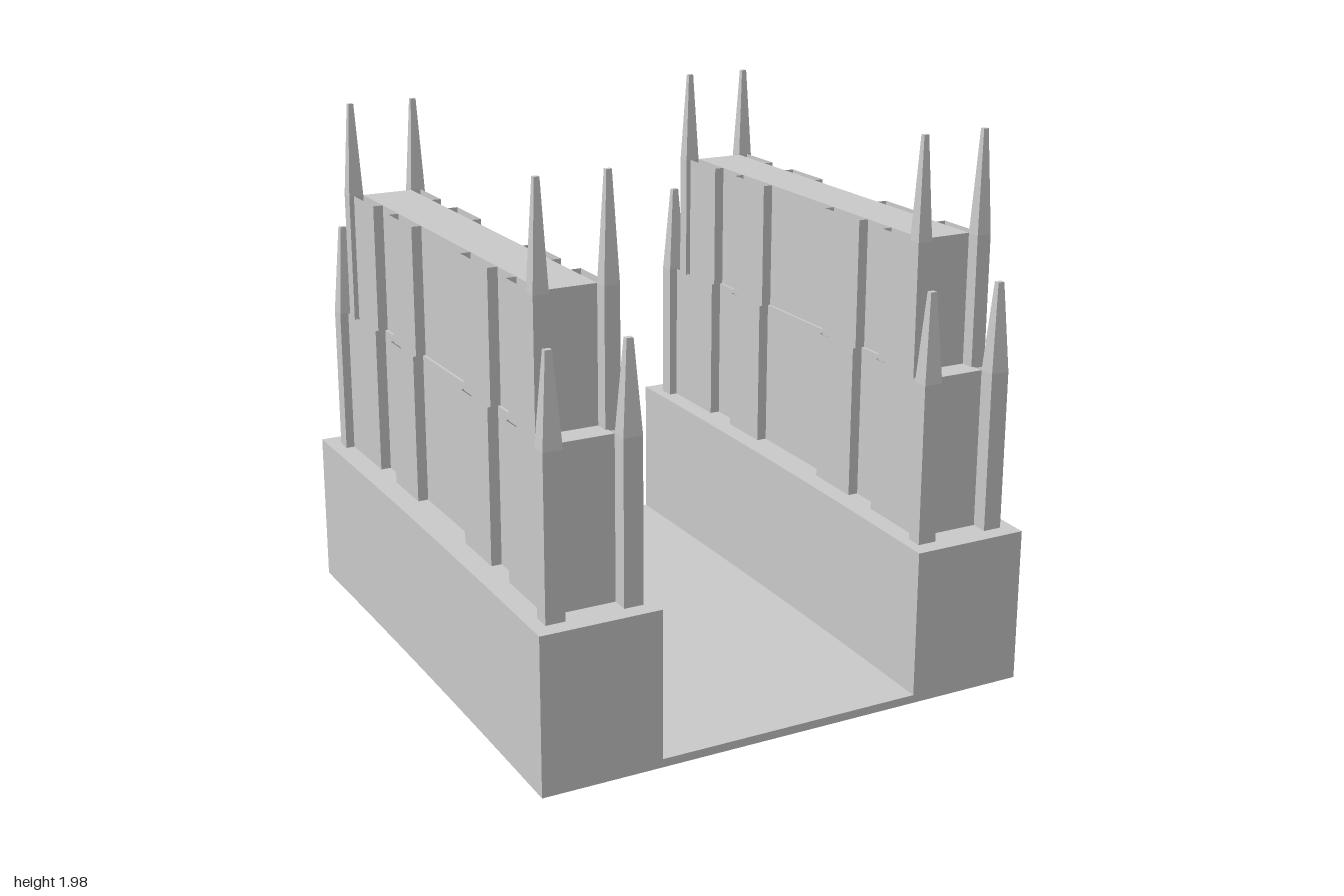
import * as THREE from 'three';

const grey = new THREE.MeshStandardMaterial({ color: 0xcccccc, flatShading: true });
const thin = new THREE.MeshStandardMaterial({ color: 0xcccccc, flatShading: true, side: THREE.DoubleSide });

function add(parent, name, geometry, material = grey) {
  const mesh = new THREE.Mesh(geometry, material);
  mesh.name = name;
  parent.add(mesh);
  return mesh;
}

// Box given by its lower and upper limits
function block(x0, x1, y0, y1, z0, z1) {
  return new THREE.BoxGeometry(x1 - x0, y1 - y0, z1 - z0)
    .translate((x0 + x1) / 2, (y0 + y1) / 2, (z0 + z1) / 2);
}

// Open vertical sheet following a list of [x, z] points
function sheet(path, y0, y1) {
  const positions = [], index = [];
  path.forEach(([x, z], i) => {
    positions.push(x, y0, z, x, y1, z);
    if (i) {
      const a = 2 * i - 2;
      index.push(a, a + 2, a + 1, a + 1, a + 2, a + 3);
    }
  });
  const g = new THREE.BufferGeometry();
  g.setAttribute('position', new THREE.Float32BufferAttribute(positions, 3));
  g.setIndex(index);
  const flat = g.toNonIndexed();
  flat.computeVertexNormals();
  return flat;
}

// U-shaped base whose ground line rises gently towards the back
function baseGeometry() {
  const points = [[-0.94, 0], [0.94, 0], [0.94, 0.565], [0.5, 0.565], [0.5, 0.03],
    [-0.5, 0.03], [-0.5, 0.565], [-0.94, 0.565]];
  const shape = new THREE.Shape(points.map(([x, y]) => new THREE.Vector2(x, y)));
  const g = new THREE.ExtrudeGeometry(shape, { depth: 2, steps: 8, bevelEnabled: false });
  g.translate(0, 0, -1);
  const p = g.attributes.position;
  for (let i = 0; i < p.count; i++) {
    const z = p.getZ(i);
    p.setY(i, p.getY(i) + 0.03 - 0.02 * z - 0.01 * z * z);
  }
  g.computeVertexNormals();
  return g;
}

// Square shaft topped by a slender blunt pyramid
function pinnacle(parent, x, z, w, d, y0, y1, tip) {
  const group = new THREE.Group();
  group.name = 'pinnacle';
  add(group, 'pinnacleShaft', block(-w / 2, w / 2, y0, y1, -d / 2, d / 2));
  const cap = new THREE.CylinderGeometry(0.35 * Math.SQRT1_2, Math.SQRT1_2, tip - y1, 4, 1);
  cap.rotateY(Math.PI / 4).scale(w, 1, d).translate(0, (y1 + tip) / 2, 0);
  add(group, 'pinnacleSpire', cap);
  group.position.set(x, 0, z);
  parent.add(group);
}

const tiers = [
  { name: 'lower', half: 0.105, out: 0.143, y0: 0.55, y1: 1.145, front: 0.88, back: -0.86,
    w: 0.07, d: 0.06, tipFront: 1.465, tipBack: 1.475 },
  { name: 'upper', half: 0.095, out: 0.132, y0: 1.14, y1: 1.615, front: 0.785, back: -0.77,
    w: 0.055, d: 0.05, tipFront: 1.98, tipBack: 1.955 },
];

// Two-tier wall, built around its own centre line
function createWall() {
  const wall = new THREE.Group();
  for (const t of tiers) {
    add(wall, t.name + 'WallBody', block(-t.half, t.half, t.y0, t.y1, t.back, t.front));
    const bays = [[t.front, 0.595], [0.45, 0.23], [-0.2, -0.415], [-0.57, t.back]];
    for (const side of [-1, 1]) {
      // Projecting bays, open at the top
      for (const [z0, z1] of bays) {
        const a = side * t.half, b = side * t.out;
        add(wall, t.name + 'WallBay', sheet([[a, z0], [b, z0], [b, z1], [a, z1]], t.y0, t.y1), thin);
      }
      // Corner pinnacles stand just beyond both ends
      const x = side * (t.half + t.w / 2);
      pinnacle(wall, x, t.front + t.d / 2, t.w, t.d, t.y0, t.y1, t.tipFront);
      pinnacle(wall, x, t.back - t.d / 2, t.w, t.d, t.y0, t.y1, t.tipBack);
    }
  }
  return wall;
}

export function createModel() {
  const model = new THREE.Group();
  model.name = 'walledPassage';
  add(model, 'base', baseGeometry());
  for (const side of [-1, 1]) {
    const wall = createWall();
    wall.name = side > 0 ? 'leftWall' : 'rightWall';
    wall.position.x = side * 0.715;
    model.add(wall);
  }
  return model;
}
